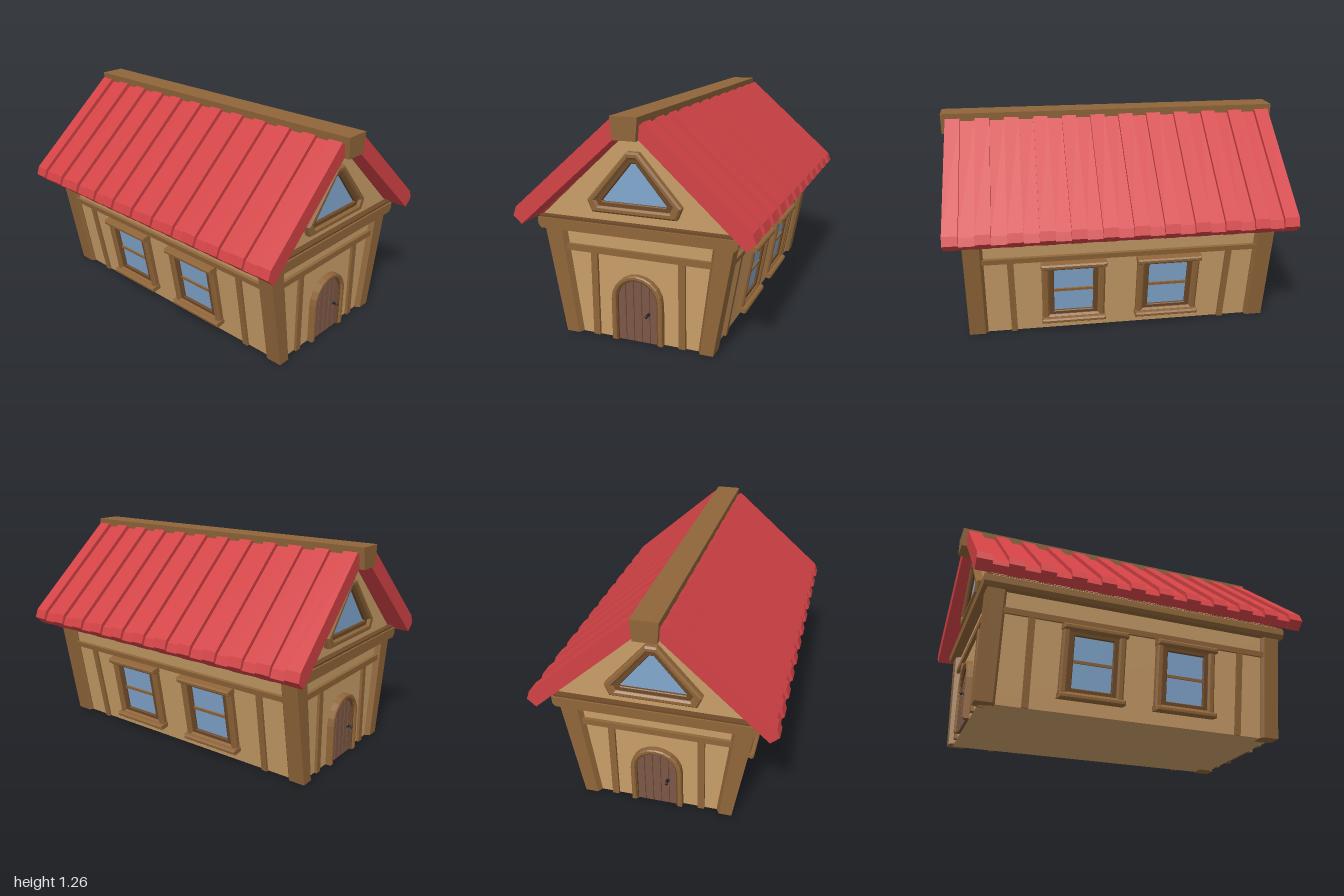
import * as THREE from 'three';

const mat = (color) => new THREE.MeshStandardMaterial({ color, flatShading: true });
const WALL = mat(0xc99d68), WOOD = mat(0x8f6539), DARK = mat(0x6e4a28), ROOF = mat(0xd24245),
  DOOR = mat(0x7d5746), GLASS = mat(0x82a8d0), IRON = mat(0x262226);
const TILT = Math.atan(0.105 / 0.6);

function add(parent, name, geo, material, x = 0, y = 0, z = 0) {
  const m = new THREE.Mesh(geo, material);
  m.name = name;
  m.position.set(x, y, z);
  parent.add(m);
  return m;
}

const box = (w, h, d) => new THREE.BoxGeometry(w, h, d);
const toShape = (pts) => new THREE.Shape(pts.map((p) => new THREE.Vector2(p[0], p[1])));

// Extrude an outline from z = 0 to z = depth, with an optional chamfer on the front
function slab(shape, depth, bevel = 0) {
  const geo = new THREE.ExtrudeGeometry(shape, {
    depth: depth - bevel, bevelEnabled: bevel > 0, bevelThickness: bevel,
    bevelSize: bevel, bevelOffset: -bevel, bevelSegments: 1, curveSegments: 8,
  });
  return geo;
}

// Outline part way between an outer and an inner outline
const between = (a, b, t) => a.map((p, i) => [p[0] + (b[i][0] - p[0]) * t, p[1] + (b[i][1] - p[1]) * t]);

function ring(outer, inner, t0, t1, depth, bevel) {
  const shape = toShape(between(outer, inner, t0));
  shape.holes.push(toShape(between(outer, inner, t1)));
  return slab(shape, depth, bevel);
}

const rect = (w, y0, y1) => [[-w, y0], [w, y0], [w, y1], [-w, y1]];

// Two-step frame with glass
function framedWindow(name, outer, inner, depth) {
  const g = new THREE.Group();
  g.name = name;
  add(g, 'outerFrame', ring(outer, inner, 0, 0.6, depth, 0.01), WOOD);
  add(g, 'innerFrame', ring(outer, inner, 0.5, 1, depth * 0.6, 0.004), DARK);
  add(g, 'glass', slab(toShape(between(outer, inner, 0.9)), 0.008), GLASS);
  return g;
}

function arch(r, spring, n = 10) {
  const pts = [[r, 0]];
  for (let i = 0; i <= n; i++) {
    const a = (Math.PI * i) / n;
    pts.push([r * Math.cos(a), spring + r * Math.sin(a)]);
  }
  pts.push([-r, 0]);
  return pts;
}

function archBand(r0, r1, depth, bevel) {
  return slab(toShape([...arch(r0, 0.24), ...arch(r1, 0.24).reverse()]), depth, bevel);
}

function makeDoor() {
  const g = new THREE.Group();
  g.name = 'door';
  add(g, 'doorFrame', archBand(0.148, 0.122, 0.038, 0.006), WOOD);
  add(g, 'doorJamb', archBand(0.126, 0.114, 0.026, 0), DARK);
  // Planks cut to the curve of the arch
  const r = 0.117, w = (2 * r) / 5;
  for (let i = 0; i < 5; i++) {
    const x0 = -r + i * w + 0.002, x1 = x0 + w - 0.004;
    const pts = [[x0, 0], [x1, 0]];
    for (let k = 0; k <= 4; k++) {
      const x = x1 + ((x0 - x1) * k) / 4;
      pts.push([x, 0.24 + Math.sqrt(Math.max(0, r * r - x * x))]);
    }
    add(g, 'doorPlank', slab(toShape(pts), 0.016, 0.002), DOOR);
  }
  add(g, 'doorBacking', slab(toShape(arch(0.117, 0.24)), 0.008), DARK);
  const plate = add(g, 'handlePlate', box(0.017, 0.017, 0.012), IRON, 0.063, 0.17, 0.02);
  plate.rotation.z = Math.PI / 4;
  add(g, 'handleStem', box(0.007, 0.007, 0.03), IRON, 0.063, 0.17, 0.03);
  add(g, 'handleKnob', new THREE.SphereGeometry(0.009, 8, 6), IRON, 0.063, 0.17, 0.046);
  return g;
}

// Gable end: door, timbers and triangular window
function makeEnd() {
  const g = new THREE.Group();
  g.add(makeDoor());
  add(g, 'endRail', box(0.84, 0.035, 0.03), WOOD, 0, 0.5, 0.005);
  for (const s of [-1, 1]) add(g, 'endStud', box(0.038, 0.485, 0.026), WOOD, s * 0.255, 0.2425, 0.003);
  const outer = [[-0.24, 0.725], [0.24, 0.725], [0.268, 0.79], [0.032, 1.06], [-0.032, 1.06], [-0.268, 0.79]];
  const inner = [[-0.178, 0.785], [0.178, 0.785], [0.184, 0.792], [0.012, 1.0], [-0.012, 1.0], [-0.184, 0.792]];
  const win = framedWindow('gableWindow', outer, inner, 0.04);
  win.position.z = 0.01;
  g.add(win);
  return g;
}

// Long leaning side: timbers and two windows
function makeSide() {
  const g = new THREE.Group();
  add(g, 'sideRail', box(1.62, 0.032, 0.03), WOOD, 0, 0.508, 0.003);
  for (const s of [-1, 1]) {
    const stud = add(g, 'sideStud', box(0.036, 0.5, 0.026), WOOD, s * 0.637, 0.25, 0.001);
    stud.rotation.z = -s * 0.015;
    const win = framedWindow('sideWindow', rect(0.185, 0.08, 0.482), rect(0.115, 0.137, 0.428), 0.036);
    add(win, 'lintel', slab(toShape(rect(0.19, 0.455, 0.486)), 0.058, 0.008), WOOD);
    add(win, 'sill', slab(toShape(rect(0.19, 0.072, 0.102)), 0.062, 0.008), WOOD);
    add(win, 'glazingBar', box(0.235, 0.016, 0.016), WOOD, 0, 0.285, 0.01);
    win.position.x = s * 0.28;
    g.add(win);
  }
  return g;
}

// One pitch of the roof: alternating raised and sunken strips
function makeRoofSide(s) {
  const g = new THREE.Group();
  g.name = s > 0 ? 'roofLeft' : 'roofRight';
  const n = 23, w = 1.94 / n;
  const raised = [[0.095, 1.23], [0.662, 0.73], [0.68, 0.68], [0.632, 0.635], [0.065, 1.14], [0.07, 1.21]];
  const sunken = [[0.08, 1.212], [0.648, 0.714], [0.667, 0.668], [0.632, 0.637], [0.065, 1.142], [0.065, 1.2]];
  for (let i = 0; i < n; i++) {
    const pts = (i % 2 ? sunken : raised).map(([x, y]) => [s * x, y]);
    const geo = slab(toShape(pts), w);
    geo.translate(0, 0, -0.97 + i * w);
    // The roof widens slightly towards the eaves
    const p = geo.attributes.position;
    for (let k = 0; k < p.count; k++) p.setZ(k, p.getZ(k) * (1 + 0.032 * Math.abs(p.getX(k))));
    geo.computeVertexNormals();
    add(g, 'roofStrip', geo, ROOF);
  }
  return g;
}

// Chamfered corner post leaning outwards
function makePost(sx, sz) {
  const pts = [[0.435, 0.9], [0.362, 0.9], [0.342, 0.868], [0.342, 0.79], [0.415, 0.79], [0.435, 0.806]];
  const geo = slab(toShape(pts.map(([x, z]) => [sx * x, -sz * z])), 0.615);
  geo.rotateX(-Math.PI / 2);
  const p = geo.attributes.position;
  for (let k = 0; k < p.count; k++) {
    const lean = Math.abs(p.getX(k)) > 0.4 ? 0.105 : 0.08;
    p.setX(k, p.getX(k) + (sx * lean * p.getY(k)) / 0.6);
  }
  geo.computeVertexNormals();
  return geo;
}

export function createModel() {
  const house = new THREE.Group();
  house.name = 'house';

  // Leaning walls and the gable block under the roof
  add(house, 'walls', slab(toShape([[-0.41, 0], [0.41, 0], [0.517, 0.615], [-0.517, 0.615]]), 1.74), WALL, 0, 0, -0.87);
  add(house, 'gable', slab(toShape([[-0.575, 0.66], [0.575, 0.66], [0.05, 1.145], [-0.05, 1.145]]), 1.76), WALL, 0, 0, -0.88);

  // Wall plate with a thin cap
  const plate = slab(toShape([[-0.553, 0.605], [0.553, 0.605], [0.57, 0.625], [0.572, 0.664], [-0.572, 0.664], [-0.57, 0.625]]), 1.85);
  add(house, 'wallPlate', plate, WOOD, 0, 0, -0.925);
  add(house, 'plateCap', box(1.13, 0.014, 1.83), DARK, 0, 0.668, 0);

  for (const sx of [-1, 1]) {
    for (const sz of [-1, 1]) add(house, 'cornerPost', makePost(sx, sz), WOOD);

    const side = new THREE.Group();
    side.name = sx > 0 ? 'sideLeft' : 'sideRight';
    side.rotation.y = (sx * Math.PI) / 2;
    const face = makeSide();
    face.name = 'sideTimbers';
    face.position.z = 0.41;
    face.rotation.x = TILT;
    side.add(face);
    house.add(side);
    house.add(makeRoofSide(sx));

    const end = new THREE.Group();
    end.name = sx > 0 ? 'frontEnd' : 'backEnd';
    end.rotation.y = sx > 0 ? 0 : Math.PI;
    const endFace = makeEnd();
    endFace.name = 'endTimbers';
    endFace.position.z = 0.87;
    end.add(endFace);
    house.add(end);
  }

  // Ridge beam
  add(house, 'ridgeBeam', slab(toShape([[-0.064, 1.135], [0.064, 1.135], [0.075, 1.255], [-0.075, 1.255]]), 2), WOOD, 0, 0, -1);
  return house;
}
